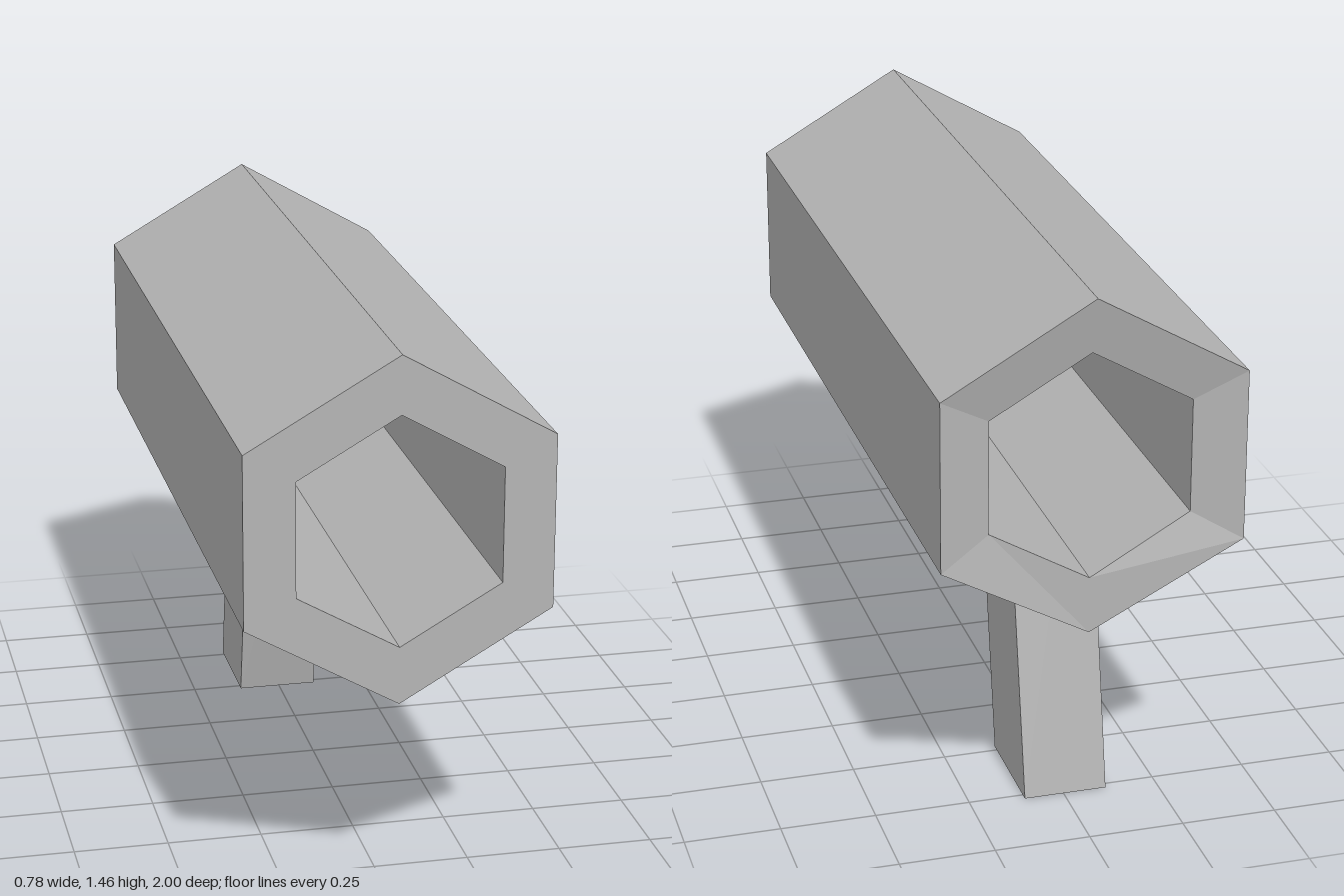
import * as THREE from 'three';

// Flat-shaded mesh from a list of planar quads and triangles (counter-clockwise corners)
function facetedMesh(name, faces, material) {
  const pos = [];
  for (const [a, b, c, d] of faces) {
    pos.push(...a, ...b, ...c);
    if (d) pos.push(...a, ...c, ...d);
  }
  const geo = new THREE.BufferGeometry();
  geo.setAttribute('position', new THREE.Float32BufferAttribute(pos, 3));
  geo.computeVertexNormals();
  const mesh = new THREE.Mesh(geo, material);
  mesh.name = name;
  return mesh;
}

export function createModel() {
  const group = new THREE.Group();
  group.name = 'tubeWithHandle';
  const grey = new THREE.MeshStandardMaterial({ color: 0xb4b4b4, flatShading: true });
  grey.name = 'grey';

  // Hollow hexagonal tube: flat front rim, rear rim sloping inwards
  const centreY = 1.013, outer = 0.448, inner = 0.298, recess = 0.965;
  const hexRing = (r, zAt) => Array.from({ length: 6 }, (_, i) => {
    const a = Math.PI / 2 + i * Math.PI / 3;
    return [r * Math.cos(a), centreY + r * Math.sin(a), zAt(i)];
  });
  const rings = [
    hexRing(outer, () => 1),
    hexRing(outer, i => (i === 3 ? -recess : -1)), // lowest rear corner is set in
    hexRing(inner, () => -recess),
    hexRing(inner, () => 1),
  ];
  const tubeFaces = [];
  rings.forEach((ring, k) => {
    const next = rings[(k + 1) % 4];
    for (let i = 0; i < 6; i++) {
      const j = (i + 1) % 6;
      tubeFaces.push([ring[i], next[i], next[j], ring[j]]);
    }
  });
  group.add(facetedMesh('tube', tubeFaces, grey));

  // Raked handle whose V-shaped top meets the underside of the tube
  const section = (zBottom, zSide, zMiddle) => [
    [-0.115, 0, zBottom], [0.105, 0, zBottom],
    [0.105, 0.626, zSide], [0, 0.565, zMiddle], [-0.115, 0.631, zSide],
  ];
  const front = section(-0.48, -0.36, -0.36);
  const back = section(-0.77, -0.648, -0.668);
  const handleFaces = [];
  for (const [a, b, c] of [[3, 0, 1], [3, 1, 2], [3, 4, 0]]) {
    handleFaces.push([front[a], front[b], front[c]], [back[a], back[c], back[b]]);
  }
  for (const [i, j] of [[0, 1], [1, 2], [4, 0]]) {
    handleFaces.push([front[i], back[i], back[j], front[j]]);
  }
  group.add(facetedMesh('handle', handleFaces, grey));

  return group;
}
